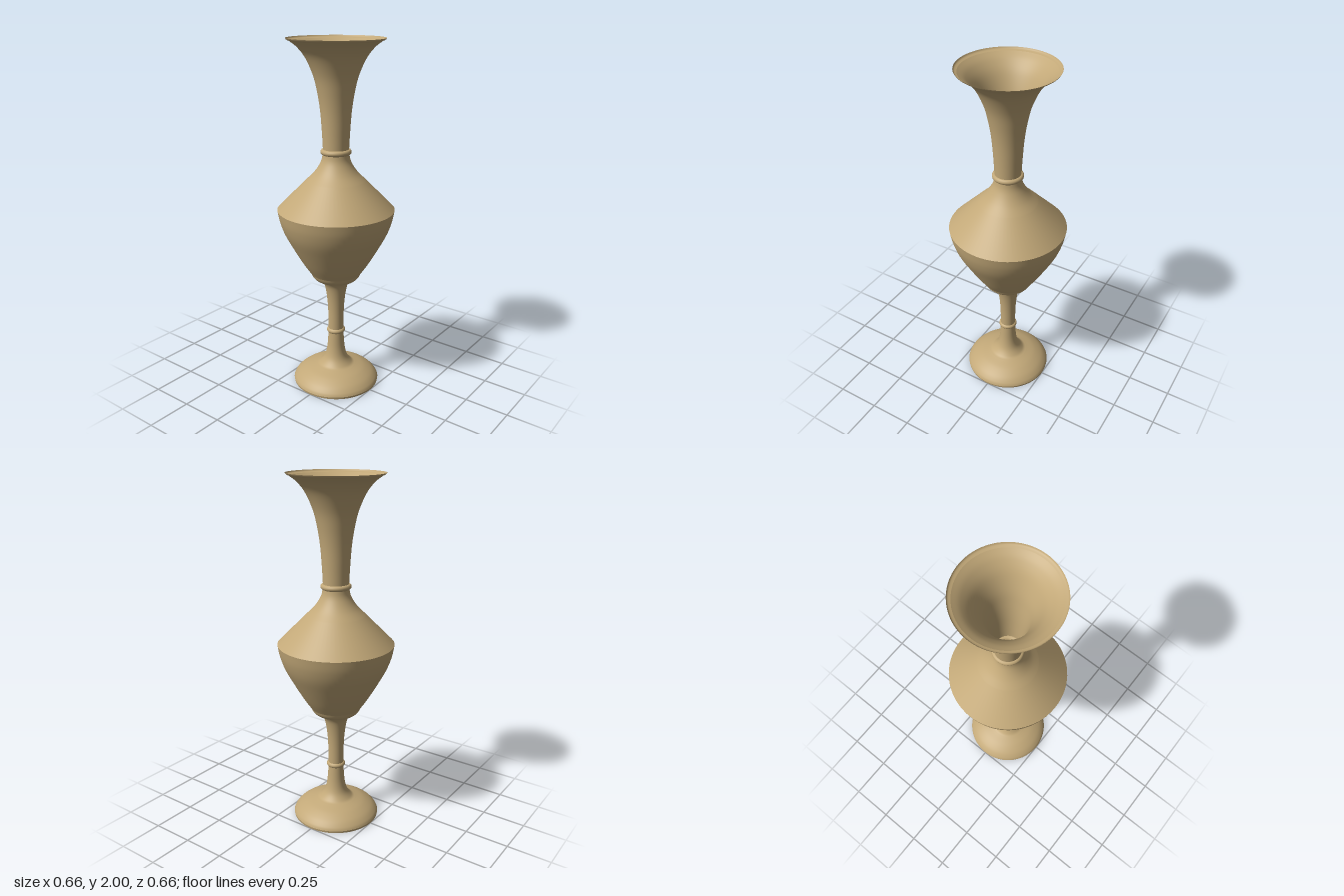
import * as THREE from 'three';

export function createModel() {
  const vase = new THREE.Group();
  vase.name = 'vase';
  const brass = new THREE.MeshStandardMaterial({ color: 0xc2a878, side: THREE.DoubleSide });
  brass.name = 'pale brass';

  const add = (name, geometry, y = 0) => {
    const mesh = new THREE.Mesh(geometry, brass);
    mesh.name = name;
    mesh.position.y = y;
    vase.add(mesh);
  };

  // One turned section: a smooth curve through [radius, height] pairs, listed upwards
  const turned = (name, profile) => {
    const points = profile.map(([r, y]) => new THREE.Vector2(r, y));
    const curve = points.length > 2 ? new THREE.SplineCurve(points).getPoints(profile.length * 5) : points;
    add(name, new THREE.LatheGeometry(curve, 72));
  };

  // Foot
  add('footUnderside', new THREE.CircleGeometry(0.25, 72).rotateX(Math.PI / 2));
  turned('footRim', [[0.25, 0], [0.252, 0.012]]);
  turned('footDome', [[0.252, 0.012], [0.242, 0.03], [0.215, 0.056], [0.17, 0.082], [0.12, 0.1]]);

  // Stem with its ring
  turned('lowerStem', [[0.12, 0.1], [0.095, 0.112], [0.067, 0.15], [0.052, 0.21], [0.045, 0.3], [0.044, 0.34]]);
  add('stemRing', new THREE.TorusGeometry(0.039, 0.015, 14, 72).rotateX(Math.PI / 2), 0.323);
  turned('upperStem', [[0.044, 0.33], [0.046, 0.45], [0.053, 0.54], [0.066, 0.61], [0.085, 0.645]]);

  // Body: collar, bowl and sloping shoulder with a sharp edge at the widest point
  turned('bowlCollar', [[0.085, 0.645], [0.113, 0.653], [0.133, 0.67], [0.145, 0.693]]);
  turned('bowl', [[0.145, 0.693], [0.19, 0.76], [0.248, 0.86], [0.29, 0.94], [0.315, 1.01], [0.328, 1.075]]);
  turned('shoulder', [[0.328, 1.075], [0.165, 1.24]]);
  turned('shoulderSweep', [[0.165, 1.24], [0.125, 1.28], [0.096, 1.32], [0.078, 1.36], [0.071, 1.41]]);

  // Neck ring and flared mouth
  add('neckRing', new THREE.TorusGeometry(0.07, 0.0155, 14, 72).rotateX(Math.PI / 2), 1.4);
  turned('neck', [[0.071, 1.4], [0.076, 1.5], [0.085, 1.62], [0.1, 1.72], [0.122, 1.81], [0.162, 1.9], [0.205, 1.955], [0.245, 1.986]]);
  turned('mouthLip', [[0.245, 1.986], [0.258, 1.992], [0.264, 2]]);

  return vase;
}
